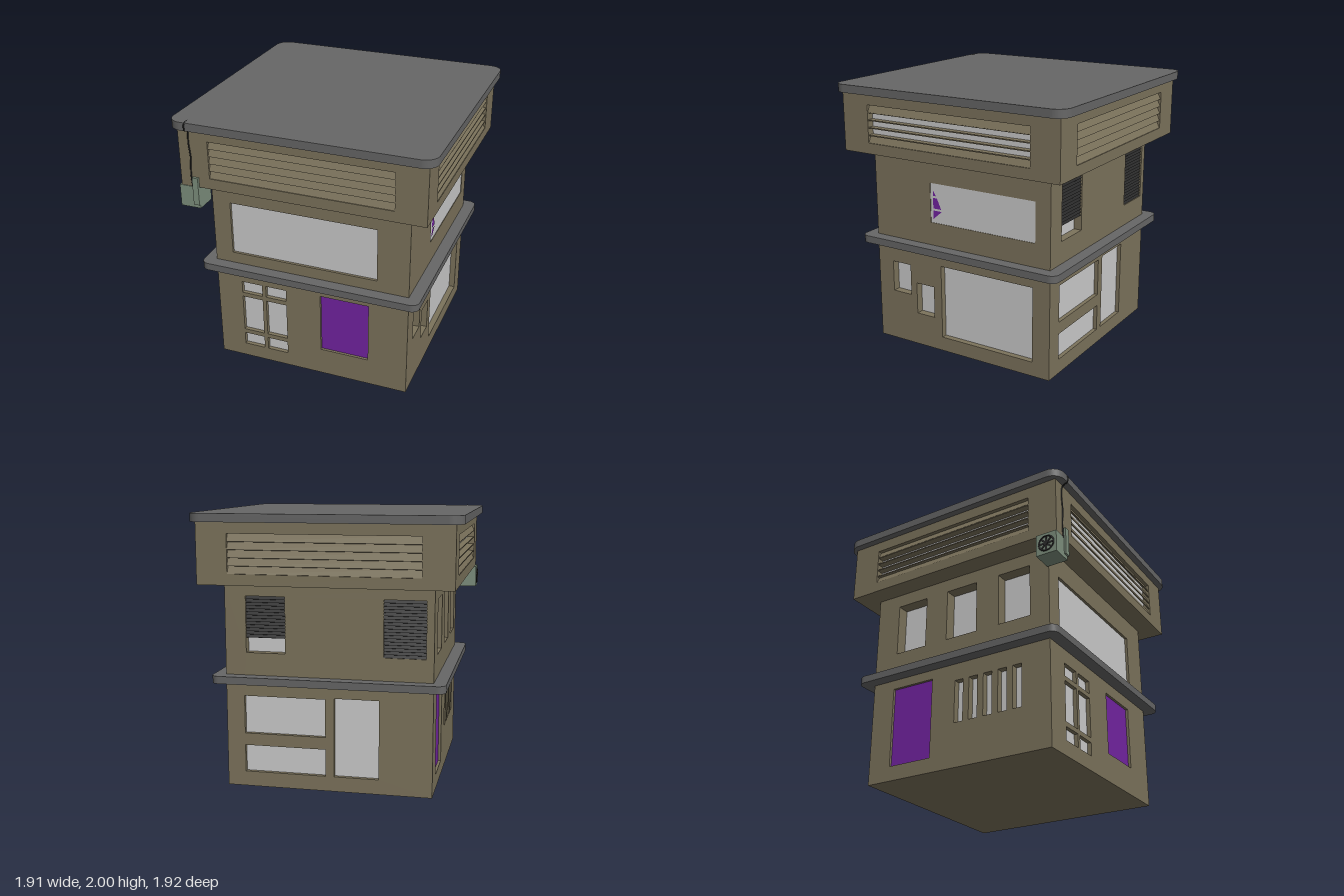
import * as THREE from 'three';

const mat = (color) => new THREE.MeshStandardMaterial({ color });
const WALL = mat(0x7c735c), TRIM = mat(0x666666), GLASS = mat(0xcccccc);
const PURPLE = mat(0x7324a2), DARK = mat(0x2a2a2a), GREEN = mat(0x7e907e);
const T = 0.1; // wall thickness

function add(parent, name, geo, material, x = 0, y = 0, z = 0) {
  const m = new THREE.Mesh(geo, material);
  m.name = name;
  m.position.set(x, y, z);
  parent.add(m);
  return m;
}

// Box given by its limits on each axis
function block(parent, name, material, [x0, x1], [y0, y1], [z0, z1]) {
  return add(parent, name, new THREE.BoxGeometry(x1 - x0, y1 - y0, z1 - z0), material,
    (x0 + x1) / 2, (y0 + y1) / 2, (z0 + z1) / 2);
}

const polygon = (pts) => new THREE.Shape(pts.map(([x, y]) => new THREE.Vector2(x, y)));

// One wall in its own frame: u to the right, y up, outer surface at local z = 0.
// Opening: [u0, u1, y0, y1, recess depth, pane material]
function wall(parent, name, angle, reach, half, y0, y1, openings) {
  const g = new THREE.Group();
  g.name = name;
  g.rotation.y = angle;
  g.position.set(Math.sin(angle) * reach, 0, Math.cos(angle) * reach);
  const shape = polygon([[-half, y0], [half, y0], [half, y1], [-half, y1]]);
  for (const [a, b, c, d] of openings) {
    shape.holes.push(polygon([[a, c], [a, d], [b, d], [b, c]]));
  }
  add(g, name + 'Shell', new THREE.ExtrudeGeometry(shape, { depth: T, bevelEnabled: false }), WALL, 0, 0, -T);
  for (const [a, b, c, d, depth, material = GLASS] of openings) {
    block(g, material === PURPLE ? 'doorPanel' : 'windowPane', material, [a, b], [c, d], [-depth - 0.01, -depth]);
  }
  parent.add(g);
  return g;
}

// Tilted louvre slats filling a rectangle
function slats(parent, name, material, u0, u1, y0, y1, count, z, tilt, pick = () => true) {
  const pitch = (y1 - y0) / count;
  for (let i = 0; i < count; i++) {
    if (!pick(i)) continue;
    const geo = new THREE.BoxGeometry(u1 - u0, pitch / Math.cos(tilt), pitch * 0.12);
    add(parent, name, geo, material, (u0 + u1) / 2, y0 + pitch * (i + 0.5), z).rotation.x = -tilt;
  }
}

// Flat slab with rounded corners
function slab(parent, name, h, r, y0, y1) {
  const s = new THREE.Shape();
  s.moveTo(h, -h + r);
  [[1, 1, 0], [-1, 1, 1], [-1, -1, 2], [1, -1, 3]].forEach(([sx, sy, q]) =>
    s.absarc(sx * (h - r), sy * (h - r), r, q * Math.PI / 2, (q + 1) * Math.PI / 2, false));
  const geo = new THREE.ExtrudeGeometry(s, { depth: y1 - y0, bevelEnabled: false, curveSegments: 8 });
  add(parent, name, geo, TRIM, 0, y0, 0).rotation.x = -Math.PI / 2;
}

export function createModel() {
  const model = new THREE.Group();
  model.name = 'building';
  const R = 0.755, H = 0.905, Q = Math.PI / 2;

  // Front wall: six small panes, purple panel, wide upper window
  const front = [[0.08, 0.455, 0.215, 0.69, 0.02, PURPLE], [-0.615, 0.515, 0.92, 1.33, 0.02]];
  for (const [a, b] of [[-0.555, -0.39], [-0.36, -0.195]]) {
    for (const [c, d] of [[0.11, 0.21], [0.245, 0.545], [0.58, 0.675]]) front.push([a, b, c, d, 0.03]);
  }
  wall(model, 'frontWall', 0, R, R, 0, 1.5, front);

  // Side wall at +x
  const side = wall(model, 'leftWall', Q, R, R - T, 0, 1.5, [
    [-0.62, -0.455, 0.395, 0.635, 0.06],
    [-0.4, -0.24, 0.255, 0.5, 0.06],
    [-0.17, 0.615, 0.11, 0.68, 0.045],
    [-0.25, 0.635, 1.01, 1.31, 0.004],
  ]);
  // Purple shards in the upper window
  const shards = [
    [[-0.225, 1.215], [-0.2, 1.215], [-0.225, 1.26]],
    [[-0.225, 1.12], [-0.155, 1.12], [-0.19, 1.2], [-0.225, 1.2]],
    [[-0.225, 1.04], [-0.15, 1.105], [-0.225, 1.105]],
  ];
  for (const pts of shards) {
    add(side, 'windowShard', new THREE.ShapeGeometry(polygon(pts)), PURPLE, 0, 0, 0.001);
  }

  // Back wall: split window, tall window, two shuttered windows
  const back = wall(model, 'backWall', 2 * Q, R, R, 0, 1.5, [
    [-0.62, -0.02, 0.4, 0.68, 0.03],
    [-0.62, -0.02, 0.11, 0.31, 0.03],
    [0.045, 0.37, 0.11, 0.69, 0.03],
    [-0.6, -0.31, 1.0, 1.41, 0.06],
    [0.4, 0.7, 1.0, 1.41, 0.06],
  ]);
  slats(back, 'shutterSlat', DARK, -0.6, -0.31, 1.11, 1.41, 13, -0.015, 0.6);
  slats(back, 'shutterSlat', DARK, 0.4, 0.7, 1.0, 1.41, 18, -0.015, 0.6);

  // Side wall at -x: door, row of slots, three deep windows
  const other = [[-0.57, -0.22, 0.11, 0.71, 0.02, PURPLE]];
  for (let i = 0; i < 5; i++) other.push([-0.02 + i * 0.12, 0.05 + i * 0.12, 0.33, 0.65, 0.05]);
  for (const u of [-0.56, -0.11, 0.34]) other.push([u, u + 0.26, 1.0, 1.4, 0.09]);
  wall(model, 'rightWall', -Q, R, R - T, 0, 1.5, other);

  block(model, 'groundFloor', WALL, [-0.7, 0.7], [0, 0.02], [-0.7, 0.7]);
  slab(model, 'middleLedge', 0.845, 0.06, 0.78, 0.835);

  // Overhanging top storey with a louvred vent on every side
  for (let i = 0; i < 4; i++) {
    const sideways = i % 2 === 1;
    const g = wall(model, 'topStoreyWall', i * Q, H, sideways ? H - T : H, 1.5, 1.945,
      [[-0.68, 0.68, 1.58, 1.86, 0.055]]);
    slats(g, 'ventSlat', WALL, -0.68, 0.68, 1.58, 1.86, 5, -0.02, 0.45,
      (k) => !sideways || k === 0 || k === 4);
    if (sideways) {
      for (let k = 1; k < 5; k++) {
        const y = 1.58 + k * 0.056;
        block(g, 'ventFin', WALL, [-0.68, 0.68], [y - 0.004, y + 0.004], [-0.055, -0.005]);
      }
    }
  }
  block(model, 'overhangUnderside', WALL, [-0.85, 0.85], [1.5, 1.52], [-0.85, 0.85]);
  slab(model, 'roof', 0.955, 0.1, 1.94, 2);

  // Cooling unit under the overhang corner, with fan and bracket
  const unit = new THREE.Group();
  unit.name = 'coolingUnit';
  model.add(unit);
  block(unit, 'unitCase', GREEN, [-0.92, -0.765], [1.335, 1.5], [0.75, 0.91]);
  block(unit, 'unitBracket', GREEN, [-0.81, -0.765], [1.365, 1.575], [0.9, 0.925]);
  add(unit, 'fanRing', new THREE.TorusGeometry(0.058, 0.006, 6, 20), DARK, -0.921, 1.418, 0.83).rotation.y = Q;
  add(unit, 'fanHub', new THREE.CylinderGeometry(0.015, 0.015, 0.01, 12), DARK, -0.921, 1.418, 0.83).rotation.z = Q;
  for (let i = 0; i < 4; i++) {
    add(unit, 'fanBlade', new THREE.BoxGeometry(0.004, 0.11, 0.014), DARK, -0.921, 1.418, 0.83).rotation.x = i * Q / 2;
  }

  // Loose cable from the unit up and over the roof edge
  const cable = [
    [-0.815, 1.49, 0.908], [-0.822, 1.6, 0.908], [-0.814, 1.72, 0.909], [-0.824, 1.84, 0.908],
    [-0.818, 1.925, 0.915], [-0.82, 1.945, 0.955], [-0.818, 1.996, 0.955], [-0.824, 1.997, 0.92], [-0.82, 1.994, 0.87],
  ].map((p) => new THREE.Vector3(...p));
  add(model, 'cable', new THREE.TubeGeometry(new THREE.CatmullRomCurve3(cable), 48, 0.005, 6), DARK);

  return model;
}
